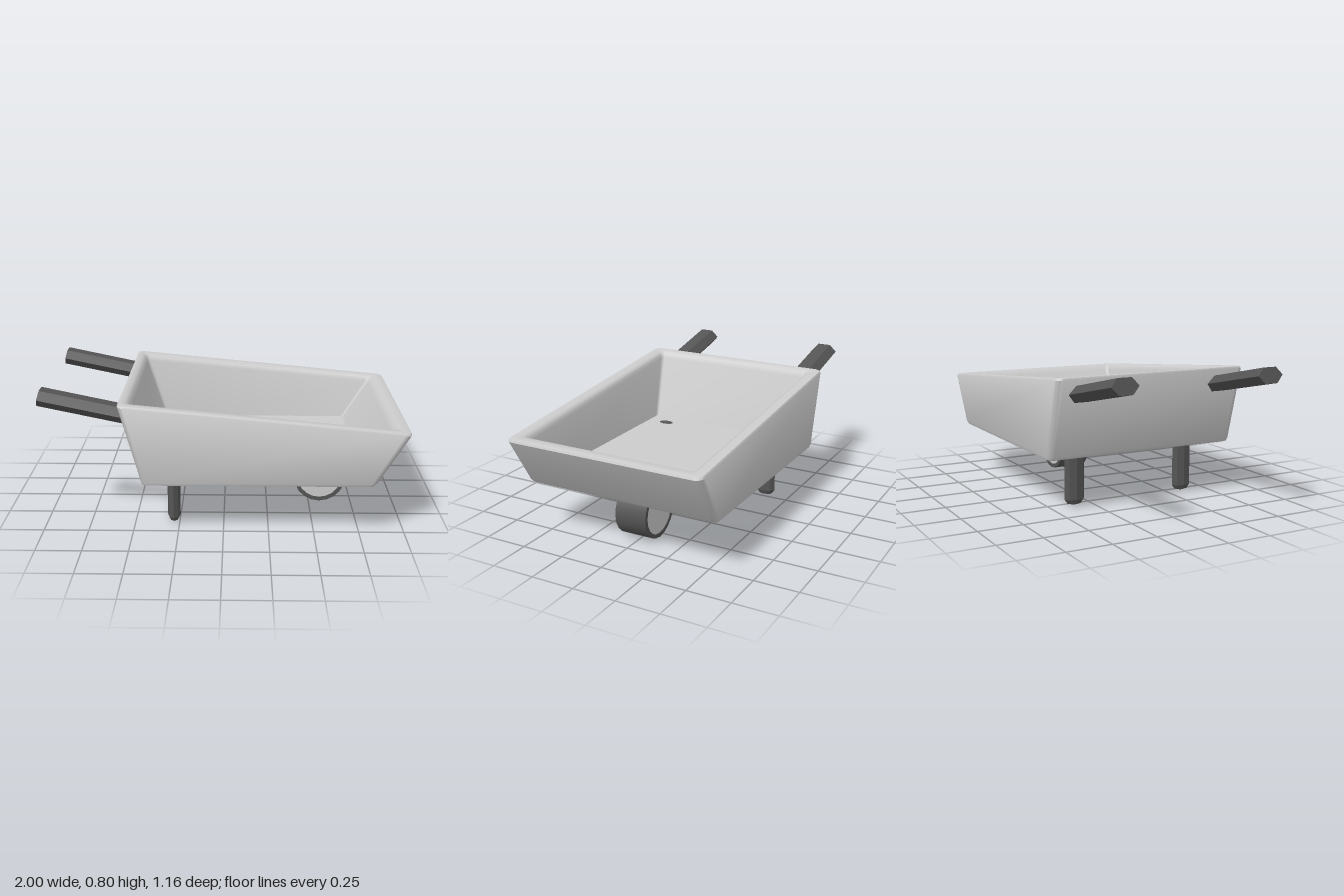
import * as THREE from 'three';
import { toCreasedNormals } from 'three/addons/utils/BufferGeometryUtils.js';

const DARK = 0x555555;

function part(name, geometry, color = 0xcccccc, flatShading = false) {
  const mesh = new THREE.Mesh(geometry, new THREE.MeshStandardMaterial({ color, flatShading }));
  mesh.name = name;
  return mesh;
}

// Rounded rectangle in plan, counter-clockwise from above; height(x) gives y
function ring([x0, x1, halfZ, r, height], steps = 4) {
  const points = [];
  for (let corner = 0; corner < 4; corner++) {
    const cx = corner === 0 || corner === 3 ? x1 - r : x0 + r;
    const cz = corner < 2 ? -halfZ + r : halfZ - r;
    for (let i = 0; i <= steps; i++) {
      const a = (corner + i / steps) * Math.PI / 2;
      const x = cx + r * Math.cos(a);
      points.push([x, height(x), cz - r * Math.sin(a)]);
    }
  }
  return points;
}

// Skin through the rings, closed by a fan at each end
function loft(rings, startCentre, endCentre) {
  const n = rings[0].length;
  const positions = [];
  const tri = (a, b, c) => positions.push(...a, ...b, ...c);
  for (let i = 0; i < n; i++) {
    const j = (i + 1) % n;
    tri(startCentre, rings[0][j], rings[0][i]);
    for (let k = 0; k < rings.length - 1; k++) {
      const [low, high] = [rings[k], rings[k + 1]];
      tri(low[i], low[j], high[j]);
      tri(low[i], high[j], high[i]);
    }
    const last = rings[rings.length - 1];
    tri(last[i], last[j], endCentre);
  }
  const geometry = new THREE.BufferGeometry();
  geometry.setAttribute('position', new THREE.Float32BufferAttribute(positions, 3));
  geometry.computeVertexNormals();
  return toCreasedNormals(geometry, 0.7);
}

// Tub: outer shell, sloping rim, inner walls and floor
function makeTub() {
  const flat = y => () => y;
  const rim = drop => x => 0.755 - drop - 0.096 * (x + 0.56);
  const sections = [
    [-0.425, 0.80, 0.555, 0.025, flat(0.298)],
    [-0.438, 0.815, 0.573, 0.03, flat(0.303)],
    [-0.446, 0.832, 0.58, 0.035, flat(0.32)],
    [-0.56, 0.998, 0.58, 0.04, rim(0.014)],
    [-0.557, 0.994, 0.573, 0.04, rim(0.003)],
    [-0.545, 0.98, 0.56, 0.04, rim(0)],
    [-0.52, 0.935, 0.523, 0.03, rim(0.003)],
    [-0.505, 0.915, 0.505, 0.025, rim(0.015)],
    [-0.495, 0.90, 0.497, 0.02, rim(0.04)],
    [-0.38, 0.75, 0.475, 0.015, flat(0.35)],
  ];
  return part('tub', loft(sections.map(s => ring(s)), [0.19, 0.298, 0], [0.19, 0.35, 0]));
}

// Leg: eight-sided post with blunt ends, wider across than along
function makeLeg(name, z) {
  const profile = [[0, 0], [0.042, 0.01], [0.06, 0.035], [0.06, 0.335], [0.045, 0.352], [0, 0.36]]
    .map(([r, y]) => new THREE.Vector2(r, y));
  const leg = part(name, new THREE.LatheGeometry(profile, 8), DARK, true);
  leg.scale.x = 0.6;
  leg.position.set(-0.282, 0, z);
  return leg;
}

// Handle: flattened six-sided bar rising from the back wall
function makeHandle(name, z) {
  const start = new THREE.Vector3(-0.505, 0.655, z);
  const end = new THREE.Vector3(-0.992, 0.758, z);
  const length = start.distanceTo(end);
  const geometry = new THREE.CylinderGeometry(0.077, 0.077, length, 6);
  geometry.scale(0.64, 1, 1);
  const handle = part(name, geometry, DARK, true);
  handle.position.copy(start).lerp(end, 0.5);
  handle.rotation.z = Math.atan2(end.y - start.y, end.x - start.x) - Math.PI / 2;
  return handle;
}

// Wheel: broad tyre around a solid hub
function makeWheel() {
  const wheel = new THREE.Group();
  wheel.name = 'wheel';
  const profile = [[0.127, -0.088], [0.127, -0.095], [0.15, -0.095], [0.15, 0.095], [0.127, 0.095], [0.127, 0.088]]
    .map(([r, y]) => new THREE.Vector2(r, y));
  wheel.add(
    part('tyre', toCreasedNormals(new THREE.LatheGeometry(profile, 20), 0.7), DARK),
    part('hub', new THREE.CylinderGeometry(0.128, 0.128, 0.182, 20)),
  );
  wheel.rotation.x = Math.PI / 2;
  wheel.position.set(0.562, 0.16, 0);
  return wheel;
}

export function createModel() {
  const model = new THREE.Group();
  model.name = 'wheelbarrow';
  model.add(makeTub(), makeWheel());
  for (const [side, s] of [['front', 1], ['back', -1]]) {
    model.add(makeLeg(`${side}Leg`, 0.35 * s), makeHandle(`${side}Handle`, 0.428 * s));
  }
  return model;
}
